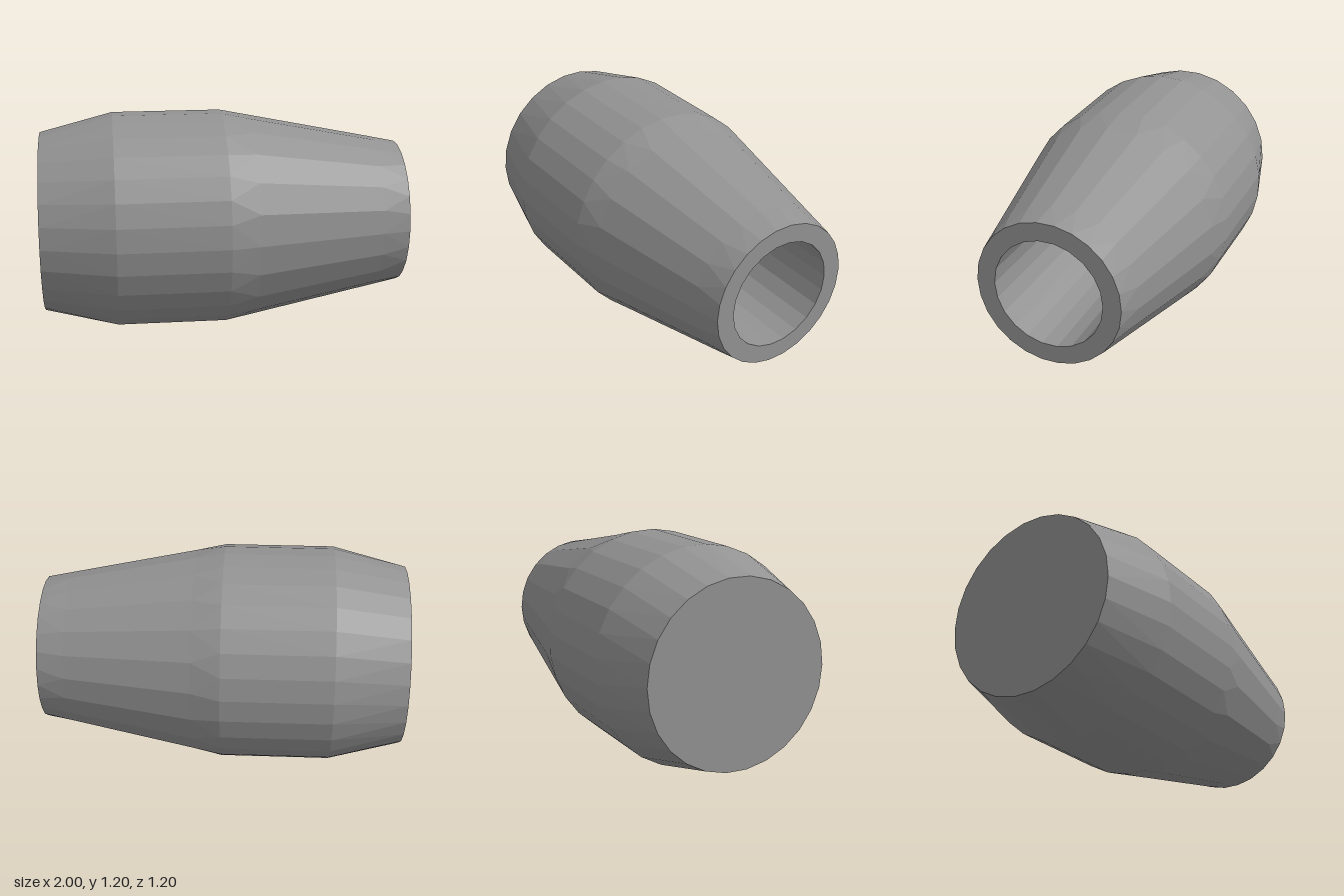
import * as THREE from 'three';

// Points of a ring around the x axis: n sides, first corner towards +z
function ring({ x, r, n }) {
  return Array.from({ length: n + 1 }, (_, i) => {
    const a = (i % n) / n * Math.PI * 2;
    return [x, 0.6 + r * Math.sin(a), r * Math.cos(a)];
  });
}

// Skin through a run of rings, which may differ in their number of sides
function loft(sections) {
  const pos = [];
  for (let s = 0; s + 1 < sections.length; s++) {
    const A = sections[s], B = sections[s + 1];
    const a = ring(A), b = ring(B);
    let i = 0, j = 0;
    while (i < A.n || j < B.n) {
      const stepA = j === B.n || (i < A.n && (i + 0.5) / A.n <= (j + 0.5) / B.n);
      if (stepA) {
        if (A.r > 0) pos.push(...a[i], ...b[j], ...a[i + 1]);
        i++;
      } else {
        if (B.r > 0) pos.push(...a[i], ...b[j], ...b[j + 1]);
        j++;
      }
    }
  }
  const g = new THREE.BufferGeometry();
  g.setAttribute('position', new THREE.Float32BufferAttribute(pos, 3));
  g.computeVertexNormals();
  return g;
}

export function createModel() {
  const group = new THREE.Group();
  const material = new THREE.MeshStandardMaterial({ color: 0x939393, flatShading: true });
  const add = (name, sections) => {
    const mesh = new THREE.Mesh(loft(sections), material);
    mesh.name = name;
    group.add(mesh);
  };

  // Closed back end, short flare, straight belly and long, coarser-sided taper
  add('outerBody', [
    { x: -1, r: 0, n: 1 },
    { x: -1, r: 0.5, n: 26 },
    { x: -0.6, r: 0.6, n: 29 },
    { x: 0, r: 0.6, n: 29 },
    { x: 0.16, r: 0.568, n: 21 },
    { x: 0.85, r: 0.43, n: 21 },
    { x: 1, r: 0.4, n: 26 },
  ]);

  // Flat rim around the opening
  add('rim', [
    { x: 1, r: 0.4, n: 26 },
    { x: 1, r: 0.3, n: 22 },
  ]);

  // Blind round bore with a flat floor
  add('bore', [
    { x: 1, r: 0.3, n: 22 },
    { x: 0, r: 0.3, n: 22 },
    { x: 0, r: 0, n: 1 },
  ]);

  return group;
}
